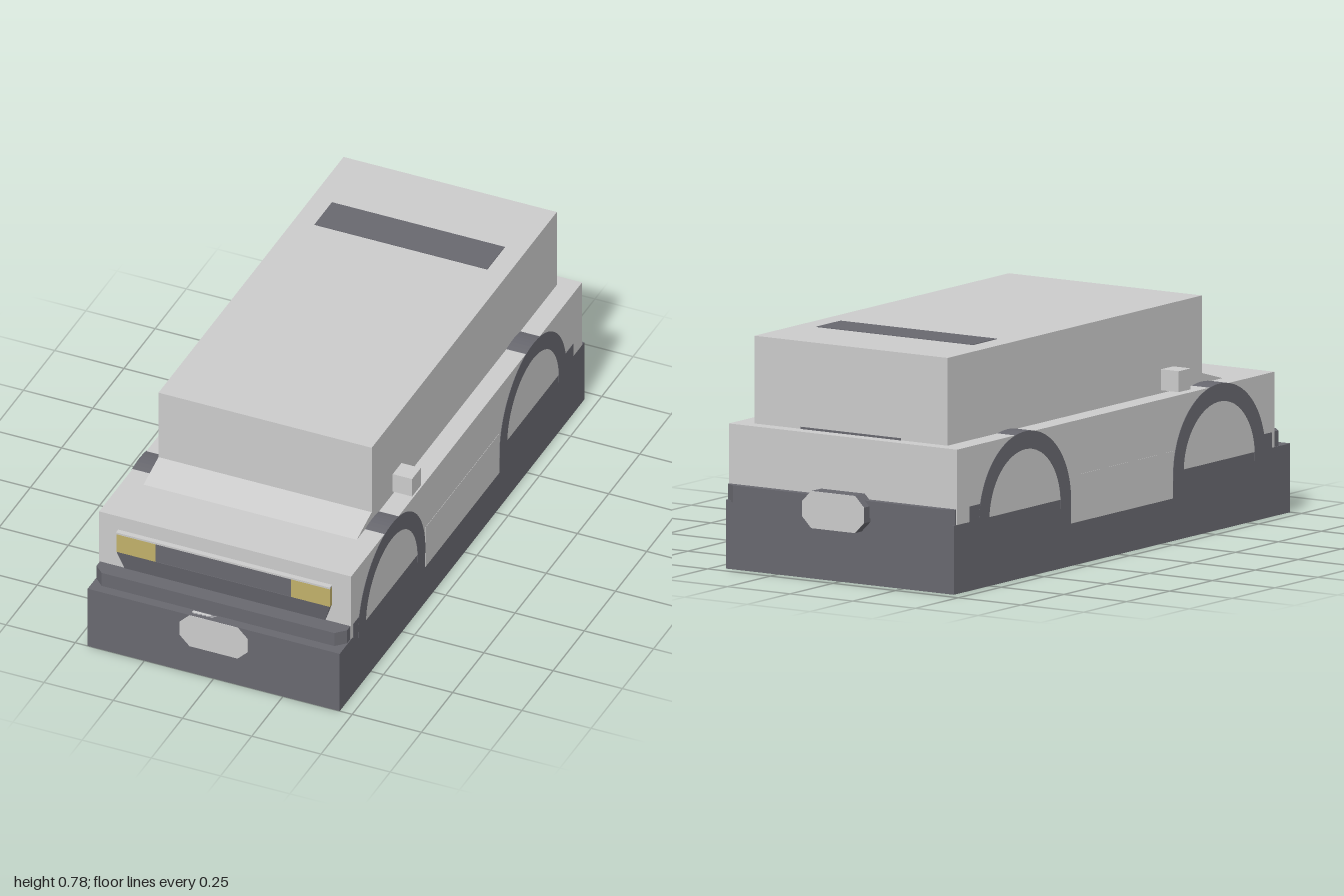
import * as THREE from 'three';

const grey = new THREE.MeshStandardMaterial({ color: 0xcccccc });
const dark = new THREE.MeshStandardMaterial({ color: 0x68686f });
const amber = new THREE.MeshStandardMaterial({ color: 0xc0b06a });

export function createModel() {
  const car = new THREE.Group();
  car.name = 'van';

  const add = (name, geometry, material) => {
    const mesh = new THREE.Mesh(geometry, material);
    mesh.name = name;
    car.add(mesh);
    return mesh;
  };
  // Box given by its limits on each axis
  const box = (name, [x0, x1], [y0, y1], [z0, z1], material) => {
    const mesh = add(name, new THREE.BoxGeometry(x1 - x0, y1 - y0, z1 - z0), material);
    mesh.position.set((x0 + x1) / 2, (y0 + y1) / 2, (z0 + z1) / 2);
    return mesh;
  };
  const outline = (points) => new THREE.Shape(points.map(([x, y]) => new THREE.Vector2(x, y)));
  const extrude = (shape, depth) =>
    new THREE.ExtrudeGeometry(shape, { depth, bevelEnabled: false, curveSegments: 24 });
  // Side profile (z, y) extruded across x from x0 to x1
  const across = (name, shape, x0, x1, material) => {
    const geometry = extrude(shape, x1 - x0);
    geometry.rotateY(-Math.PI / 2);
    geometry.translate(x1, 0, 0);
    return add(name, geometry, material);
  };

  // Main volumes
  box('base', [-0.455, 0.455], [0, 0.23], [-0.96, 1], dark);
  box('lowerBody', [-0.455, 0.455], [0.23, 0.482], [-0.942, 0.908], grey);
  box('cabin', [-0.385, 0.385], [0.48, 0.775], [-0.895, 0.588], grey);
  across('cowl', outline([[0.58, 0.48], [0.715, 0.48], [0.588, 0.516]]), -0.385, 0.385, grey);
  box('roofStrip', [-0.312, 0.312], [0.765, 0.777], [-0.64, -0.5], dark);
  box('rearSlot', [-0.2, 0.2], [0.48, 0.489], [-0.898, -0.88], dark);

  // Wheel arches, sills and mirrors on both sides
  for (const side of [-1, 1]) {
    const span = (a, b) => (side > 0 ? [a, b] : [-b, -a]);
    for (const z of [0.585, -0.547]) {
      const arch = new THREE.Shape();
      arch.moveTo(z + 0.268, 0.2);
      arch.lineTo(z + 0.268, 0.22);
      arch.absarc(z, 0.22, 0.268, 0, Math.PI, false);
      arch.lineTo(z - 0.268, 0.2);
      arch.lineTo(z - 0.208, 0.2);
      arch.lineTo(z - 0.208, 0.22);
      arch.absarc(z, 0.22, 0.208, Math.PI, 0, true);
      arch.lineTo(z + 0.208, 0.2);
      across('wheelArch', arch, ...span(0.385, 0.4565), dark);
    }
    box('sill', span(0.44, 0.456), [0.142, 0.3], [-0.278, 0.316], grey);
    box('mirror', span(0.384, 0.455), [0.492, 0.562], [0.35, 0.42], grey);
    box('frontBumperEnd', span(0.42, 0.4562), [0.225, 0.282], [0.84, 0.892], dark);
    box('rearBumperEnd', span(0.42, 0.4562), [0.225, 0.282], [-0.87, -0.8], dark);
    box('headlight', span(0.245, 0.386), [0.35, 0.422], [0.9, 0.924], amber);
  }

  // Bumpers with chamfered corners, drawn in plan and extruded upward
  const bumper = (name, back, bend, front) => {
    const sign = Math.sign(front);
    const points = [[-0.452, back], [0.452, back], [0.452, bend], [0.42, front],
      [-0.42, front], [-0.452, bend]];
    if (sign < 0) points.reverse();
    const geometry = extrude(outline(points.map(([x, z]) => [x, -z])), 0.057);
    geometry.rotateX(-Math.PI / 2);
    geometry.translate(0, 0.225, 0);
    add(name, geometry, dark);
  };
  bumper('frontBumper', 0.9, 0.935, 0.966);
  bumper('rearBumper', -0.93, -0.95, -0.968);

  // Grille, with its lower half tapering down and back
  box('grille', [-0.246, 0.246], [0.35, 0.422], [0.9, 0.922], dark);
  const lower = new THREE.BoxGeometry(0.77, 0.07, 0.024);
  const p = lower.attributes.position;
  for (let i = 0; i < p.count; i++) {
    if (p.getY(i) > 0) continue;
    p.setX(i, Math.sign(p.getX(i)) * 0.362);
    if (p.getZ(i) > 0) p.setZ(i, -0.002);
  }
  lower.computeVertexNormals();
  add('lowerGrille', lower, dark).position.set(0, 0.315, 0.912);
  box('grilleLip', [-0.386, 0.386], [0.422, 0.429], [0.9, 0.926], grey);

  // Octagonal plates on the nose and tail
  const octagon = (w, h, c) => outline([[-w, -h + c], [-w + c, -h], [w - c, -h], [w, -h + c],
    [w, h - c], [w - c, h], [-w + c, h], [-w, h - c]]);
  const plate = (name, y, z, depth, material) => {
    add(name, extrude(octagon(0.123, 0.062, 0.036), depth), material).position.set(0, y, z);
  };
  plate('frontPlate', 0.168, 0.97, 0.0315, grey);
  plate('rearPlateMount', 0.238, -0.998, 0.06, dark);
  plate('rearPlate', 0.238, -1, 0.002, grey);

  return car;
}
